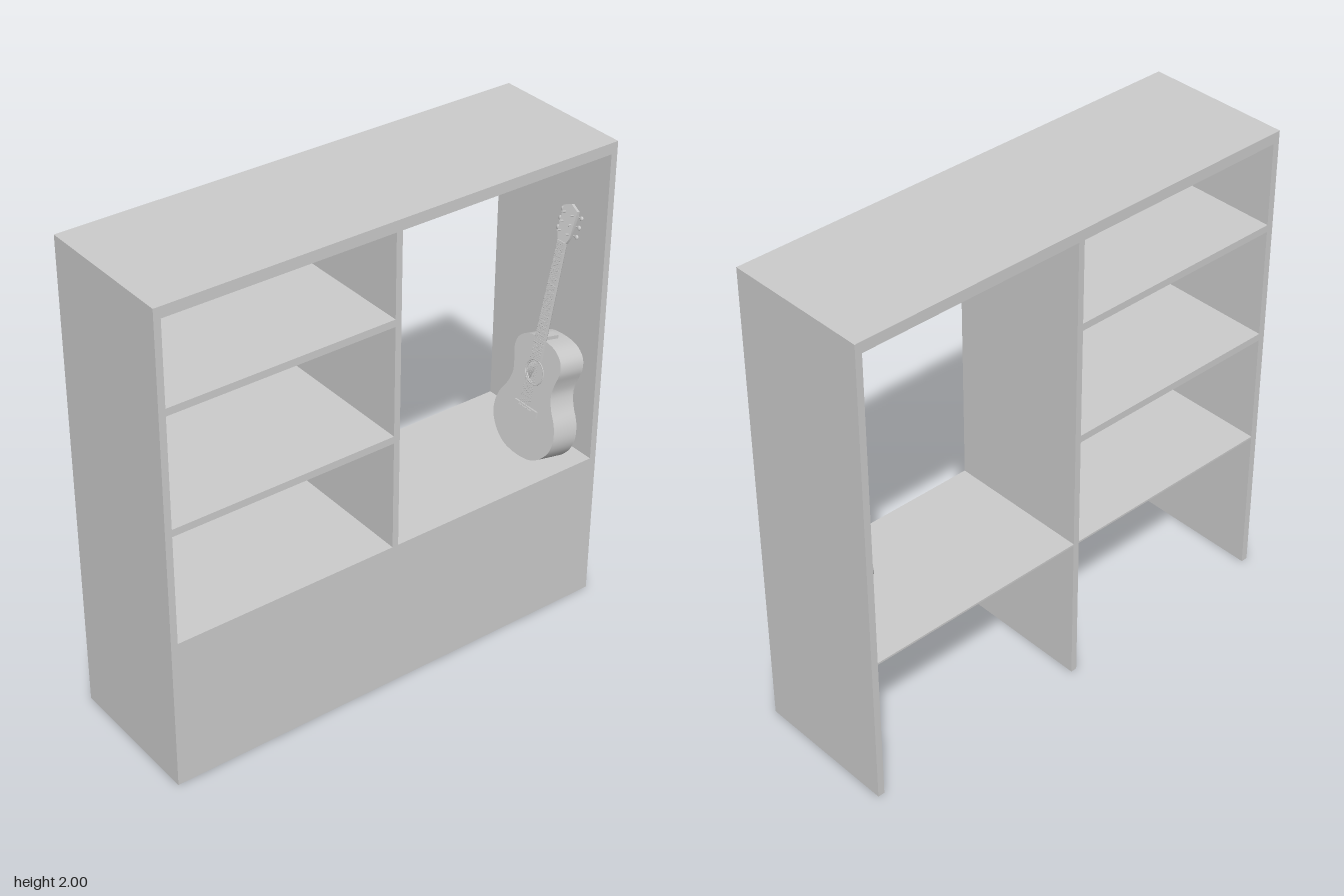
import * as THREE from 'three';
import { toCreasedNormals } from 'three/addons/utils/BufferGeometryUtils.js';

const grey = new THREE.MeshStandardMaterial({ color: 0xcccccc });

function add(parent, name, geometry, x = 0, y = 0, z = 0) {
  const mesh = new THREE.Mesh(geometry, grey);
  mesh.name = name;
  mesh.position.set(x, y, z);
  parent.add(mesh);
  return mesh;
}

// Box given by its lower and upper limits on each axis
function panel(parent, name, [x0, x1], [y0, y1], [z0, z1]) {
  return add(parent, name, new THREE.BoxGeometry(x1 - x0, y1 - y0, z1 - z0),
    (x0 + x1) / 2, (y0 + y1) / 2, (z0 + z1) / 2);
}

function extrude(shape, depth, curveSegments = 12) {
  const g = new THREE.ExtrudeGeometry(shape, { depth, bevelEnabled: false, curveSegments });
  return toCreasedNormals(g, 0.6);
}

function createCabinet() {
  const cabinet = new THREE.Group();
  cabinet.name = 'cabinet';
  const X = [-0.305, 0.3], end = 0.985, inner = 0.957;

  panel(cabinet, 'top', X, [1.955, 2], [-end, end]);
  for (const s of [-1, 1]) {
    const z = s < 0 ? [-end, -inner] : [inner, end];
    panel(cabinet, s < 0 ? 'rearEndPanel' : 'frontEndPanel', X, [0, 1.955], z);
  }
  panel(cabinet, 'divider', [-0.305, 0.3], [0.64, 1.955], [-0.012, 0.014]);
  panel(cabinet, 'dividerLeg', [-0.305, 0.285], [0, 0.632], [-0.012, 0.014]);
  panel(cabinet, 'counter', X, [0.632, 0.64], [-inner, inner]);
  panel(cabinet, 'apron', [0.285, 0.3], [0, 0.632], [-inner, inner]);
  for (const y of [1.1, 1.585]) panel(cabinet, 'shelf', X, [y, y + 0.03], [0.014, inner]);
  return cabinet;
}

// Half outline of the guitar body: [half width, distance from the bottom]
const half = [[0.06, 0.005], [0.12, 0.035], [0.163, 0.088], [0.174, 0.14], [0.16, 0.2],
  [0.127, 0.255], [0.111, 0.31], [0.119, 0.36], [0.131, 0.405], [0.122, 0.45], [0.085, 0.482], [0.04, 0.494]];

function bodyPoints(inset = 0) {
  const right = half.map(([x, y]) => new THREE.Vector2(x - inset, 0.25 + (y - 0.25) * (1 - inset * 4)));
  const left = right.map((p) => new THREE.Vector2(-p.x, p.y)).reverse();
  const curve = new THREE.CatmullRomCurve3([...right, ...left].map((p) => new THREE.Vector3(p.x, p.y, 0)), true);
  return curve.getPoints(72).slice(0, -1).map((p) => new THREE.Vector2(p.x, p.y));
}

function createGuitar() {
  const guitar = new THREE.Group();
  guitar.name = 'guitar';
  const holeY = 0.355, depth = 0.118;

  // Hollow body: back, bent sides, soundboard with a hole
  add(guitar, 'bodyBack', extrude(new THREE.Shape(bodyPoints()), 0.005));
  const rim = new THREE.Shape(bodyPoints());
  rim.holes.push(new THREE.Path(bodyPoints(0.005)));
  add(guitar, 'bodySides', extrude(rim, depth - 0.01), 0, 0, 0.005);
  const board = new THREE.Shape(bodyPoints());
  board.holes.push(new THREE.Path().absarc(0, holeY, 0.043, 0, Math.PI * 2, true));
  add(guitar, 'soundboard', extrude(board, 0.005, 24), 0, 0, depth - 0.005);
  add(guitar, 'rosette', new THREE.TorusGeometry(0.05, 0.0025, 6, 32), 0, holeY, depth);

  // Bridge and saddle
  add(guitar, 'bridge', new THREE.BoxGeometry(0.13, 0.026, 0.008), 0, 0.2, depth + 0.004);
  add(guitar, 'saddle', new THREE.BoxGeometry(0.07, 0.005, 0.01), 0, 0.205, depth + 0.009);

  // Neck, fretboard and frets
  const neck = new THREE.CylinderGeometry(0.021, 0.026, 0.43, 12, 1, false, Math.PI / 2, Math.PI);
  neck.scale(1, 1, 0.65);
  add(guitar, 'neck', neck, 0, 0.685, depth + 0.002);
  add(guitar, 'heel', new THREE.BoxGeometry(0.034, 0.02, 0.07), 0, 0.5, depth - 0.035);
  const fretboard = new THREE.Shape([[-0.027, 0.41], [0.027, 0.41], [0.021, 0.9], [-0.021, 0.9]]
    .map((p) => new THREE.Vector2(...p)));
  add(guitar, 'fretboard', extrude(fretboard, 0.009), 0, 0, depth);
  for (let i = 1; i <= 19; i++) {
    const y = 0.205 + 0.69 * Math.pow(2, -i / 12);
    add(guitar, 'fret', new THREE.BoxGeometry(0.043 + (0.9 - y) * 0.022, 0.003, 0.003), 0, y, depth + 0.0095);
  }
  add(guitar, 'nut', new THREE.BoxGeometry(0.042, 0.006, 0.013), 0, 0.897, depth + 0.0065);

  // Headstock with tuners, leaning slightly back
  const head = new THREE.Group();
  head.name = 'headstock';
  head.position.set(0, 0.895, depth - 0.005);
  head.rotation.x = -0.06;
  const plate = new THREE.Shape();
  plate.moveTo(-0.021, 0);
  plate.lineTo(0.021, 0);
  plate.lineTo(0.034, 0.03);
  plate.lineTo(0.038, 0.135);
  plate.quadraticCurveTo(0.02, 0.142, 0, 0.152);
  plate.quadraticCurveTo(-0.02, 0.142, -0.038, 0.135);
  plate.lineTo(-0.034, 0.03);
  add(head, 'headPlate', extrude(plate, 0.013));
  for (const s of [-1, 1]) for (let i = 0; i < 3; i++) {
    const y = 0.04 + i * 0.037;
    add(head, 'tuningPost', new THREE.CylinderGeometry(0.004, 0.004, 0.016, 8), s * 0.022, y, 0.02).rotation.x = Math.PI / 2;
    add(head, 'tuningShaft', new THREE.CylinderGeometry(0.002, 0.002, 0.03, 6), s * 0.036, y, -0.003).rotation.z = Math.PI / 2;
    add(head, 'tuningKey', new THREE.SphereGeometry(0.009, 10, 8), s * 0.052, y, -0.003).scale.set(1, 1, 0.5);
  }
  guitar.add(head);

  // Six strings from the bridge to the nut
  for (let i = 0; i < 6; i++) {
    const t = (i - 2.5) / 2.5;
    const path = new THREE.LineCurve3(new THREE.Vector3(t * 0.026, 0.205, depth + 0.015),
      new THREE.Vector3(t * 0.016, 0.897, depth + 0.014));
    add(guitar, 'string', new THREE.TubeGeometry(path, 1, 0.0008, 5));
  }

  // Leaning against the rear end panel
  guitar.position.set(0.13, 0.64, -0.84);
  guitar.rotation.x = -0.203;
  return guitar;
}

export function createModel() {
  const model = new THREE.Group();
  model.name = 'shelvingUnit';
  model.add(createCabinet(), createGuitar());
  return model;
}
